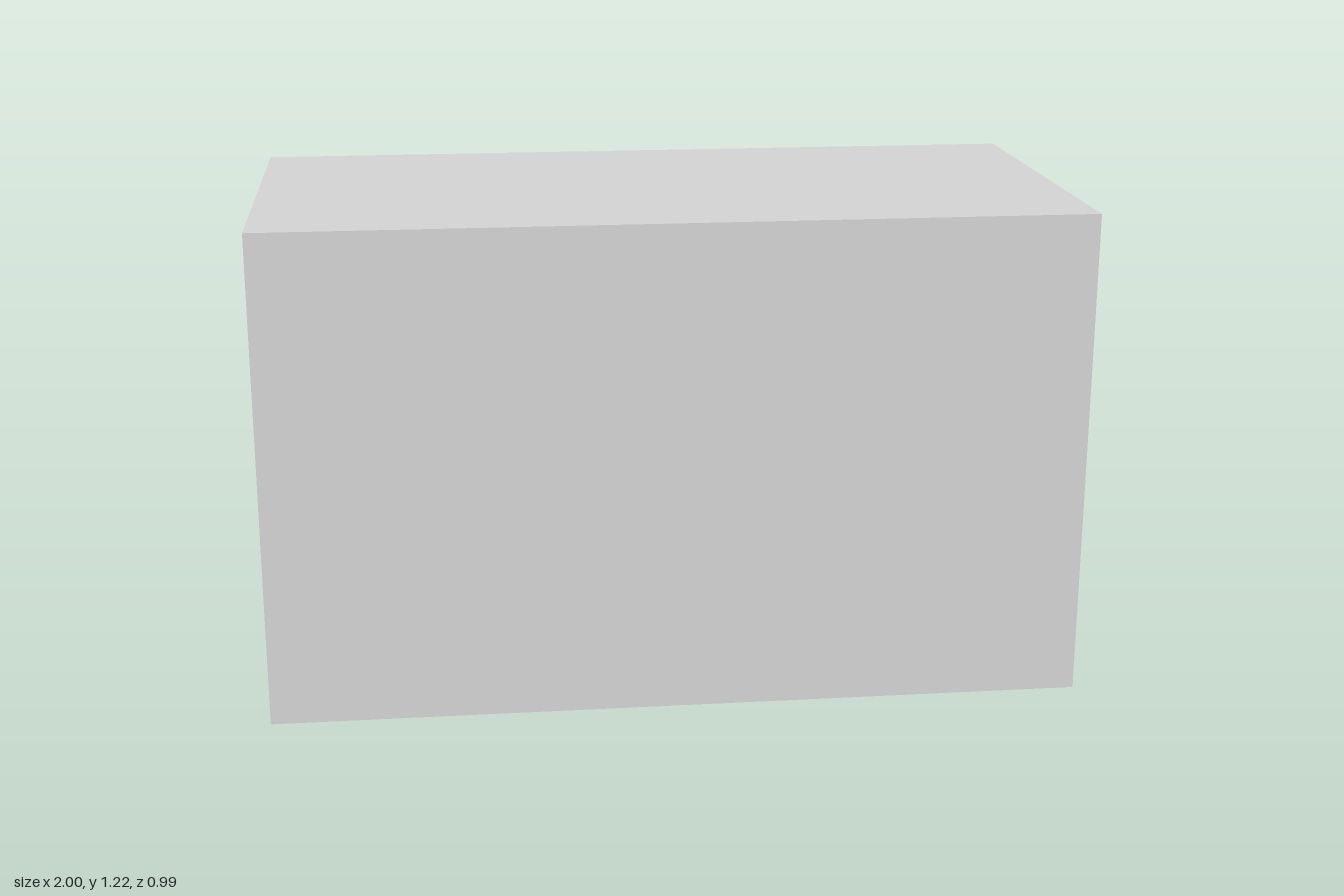
import * as THREE from 'three';

const LENGTH = 2, DEPTH = 0.988, HEIGHT = 1.215;
const WALL = 0.152, ROOF = 0.13, POST_RADIUS = 0.2025;

// Horizontal rectangle, counter-clockwise seen from above
const rectangle = (halfX, y, halfZ) =>
  [[1, 1], [1, -1], [-1, -1], [-1, 1]].map(([sx, sz]) => [sx * halfX, y, sz * halfZ]);

// Joins successive rectangles with flat faces and caps both ends
function loftRectangles(loops) {
  const positions = [];
  const quad = (a, b, c, d) => positions.push(...a, ...b, ...c, ...a, ...c, ...d);
  quad(...loops[0]);
  for (let i = 0; i + 1 < loops.length; i++) {
    for (let k = 0; k < 4; k++) {
      const n = (k + 1) % 4;
      quad(loops[i][k], loops[i + 1][k], loops[i + 1][n], loops[i][n]);
    }
  }
  quad(...[...loops[loops.length - 1]].reverse());
  const geometry = new THREE.BufferGeometry();
  geometry.setAttribute('position', new THREE.Float32BufferAttribute(positions, 3));
  geometry.computeVertexNormals();
  return geometry;
}

export function createModel() {
  const group = new THREE.Group();
  group.name = 'hollowBlock';
  const lightGrey = new THREE.MeshStandardMaterial({ color: 0xd6d6d6 });
  lightGrey.name = 'lightGrey';

  // Block hollowed out from below: outer walls, bottom rim, inner walls, ceiling
  const x = LENGTH / 2, z = DEPTH / 2, ceiling = HEIGHT - ROOF;
  const shell = new THREE.Mesh(loftRectangles([
    rectangle(x, HEIGHT, z),
    rectangle(x, 0, z),
    rectangle(x - WALL, 0, z - WALL),
    rectangle(x - WALL, ceiling, z - WALL),
  ]), lightGrey);
  shell.name = 'shell';
  group.add(shell);

  // Eight-sided post from the ceiling down to the rim, flats facing the walls
  const postGeometry = new THREE.CylinderGeometry(POST_RADIUS, POST_RADIUS, ceiling, 8)
    .rotateY(Math.PI / 8)
    .toNonIndexed();
  postGeometry.computeVertexNormals();
  const post = new THREE.Mesh(postGeometry, lightGrey);
  post.name = 'centrePost';
  post.position.y = ceiling / 2;
  group.add(post);

  return group;
}
